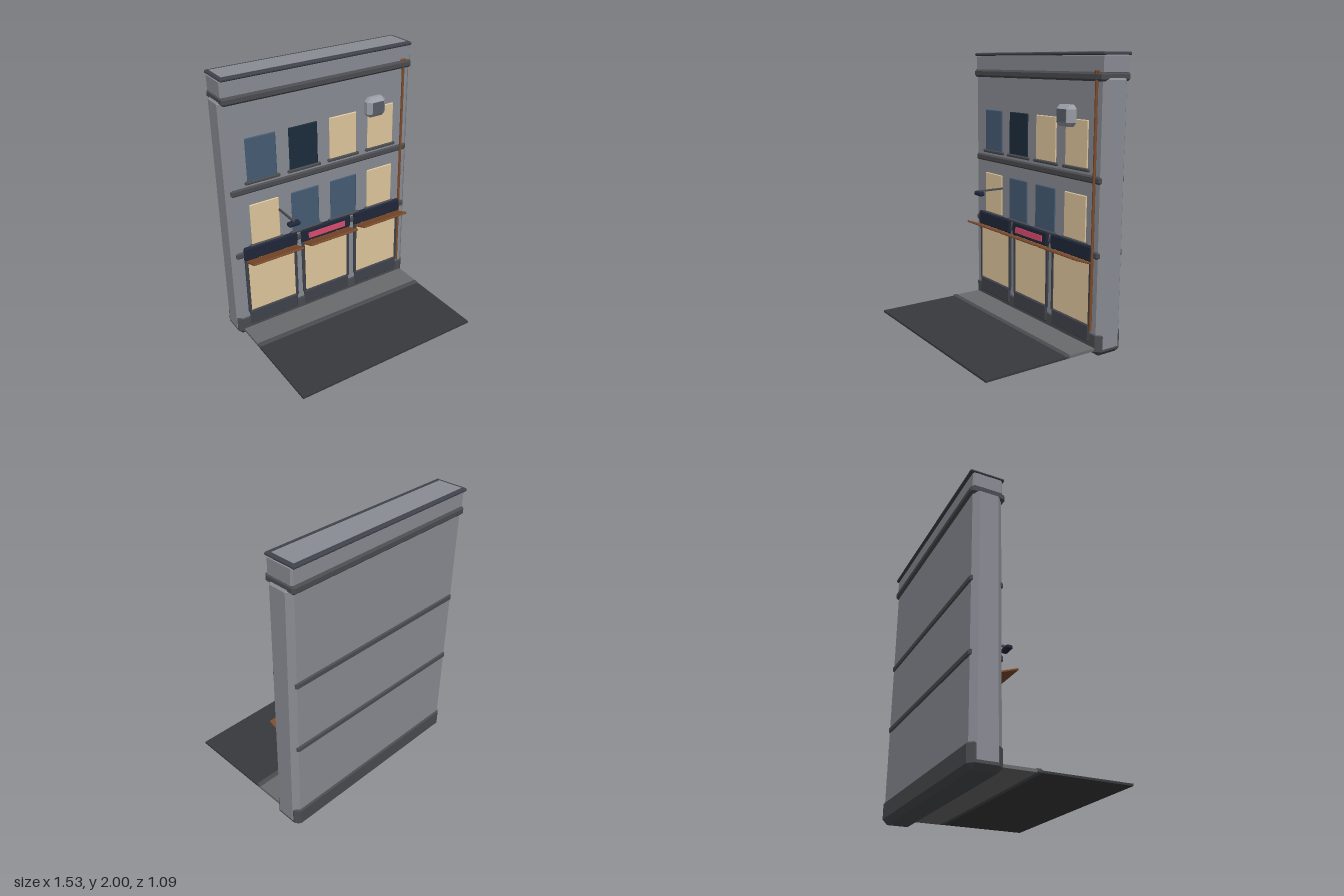
import * as THREE from 'three';
import { ConvexGeometry } from 'three/addons/geometries/ConvexGeometry.js';

const COLORS = {
  wall: 0x8a8c94, trim: 0x4b4c50, riser: 0x40434c, navy: 0x20273a, cream: 0xdfc79c,
  blue: 0x465c74, night: 0x1c2c3b, wood: 0x7d4c2c, pink: 0xdc4c6e, metal: 0x9a9ea6,
  grille: 0x5c5e68, pavement: 0x6a6b6d, road: 0x38393c,
};
const materials = {};
for (const key in COLORS) {
  materials[key] = new THREE.MeshStandardMaterial({ color: COLORS[key], flatShading: true });
}

// Box with all edges cut at 45 degrees
function chamferBox(w, h, d, c) {
  const points = [];
  for (const x of [-w / 2, w / 2]) for (const y of [-h / 2, h / 2]) for (const z of [-d / 2, d / 2]) {
    const ix = x - Math.sign(x) * c, iy = y - Math.sign(y) * c, iz = z - Math.sign(z) * c;
    points.push(new THREE.Vector3(x, iy, iz), new THREE.Vector3(ix, y, iz), new THREE.Vector3(ix, iy, z));
  }
  return new ConvexGeometry(points);
}

export function createModel() {
  const model = new THREE.Group();
  model.name = 'shopBuilding';

  // Block given by its extents on each axis, with an optional chamfer
  function block(name, color, [x0, x1], [y0, y1], [z0, z1], c = 0, parent = model) {
    const w = x1 - x0, h = y1 - y0, d = z1 - z0;
    const geometry = c ? chamferBox(w, h, d, c) : new THREE.BoxGeometry(w, h, d);
    const mesh = new THREE.Mesh(geometry, materials[color]);
    mesh.position.set((x0 + x1) / 2, (y0 + y1) / 2, (z0 + z1) / 2);
    mesh.name = name;
    parent.add(mesh);
    return mesh;
  }
  const span = (center, width) => [center - width / 2, center + width / 2];

  // Main body, plinth and horizontal bands
  block('body', 'wall', [-0.765, 0.765], [0.015, 1.86], [-0.522, -0.32], 0.037);
  block('plinth', 'trim', [-0.762, 0.762], [0, 0.18], [-0.533, -0.313], 0.035);
  block('lowerBand', 'trim', [-0.737, 0.737], [0.668, 0.72], [-0.531, -0.309], 0.012);
  block('upperBand', 'trim', [-0.737, 0.737], [1.163, 1.216], [-0.531, -0.309], 0.012);

  // Cornice, parapet and roof
  block('cornice', 'trim', [-0.752, 0.752], [1.815, 1.873], [-0.541, -0.3], 0.014);
  block('parapet', 'wall', [-0.75, 0.75], [1.86, 1.985], [-0.527, -0.317], 0.012);
  block('roofCap', 'riser', [-0.75, 0.75], [1.976, 1.998], [-0.545, -0.305], 0.007);
  block('roofPanel', 'wall', [-0.725, 0.725], [1.98, 2], [-0.518, -0.34]);

  // Two rows of windows with sills
  const rows = [
    { y: 0.755, colors: ['cream', 'blue', 'blue', 'cream'] },
    { y: 1.25, colors: ['blue', 'night', 'cream', 'cream'] },
  ];
  for (const row of rows) {
    row.colors.forEach((color, i) => {
      const x = -0.495 + i * 0.329;
      block('window', color, span(x, 0.23), [row.y, row.y + 0.318], [-0.33, -0.314], 0.005);
      block('windowSill', 'trim', span(x, 0.27), [row.y - 0.017, row.y + 0.006], [-0.33, -0.304], 0.006);
    });
  }

  // Three shopfronts
  for (const x of [-0.467, 0, 0.467]) {
    const shop = new THREE.Group();
    shop.name = 'shopfront';
    model.add(shop);
    block('shopWindow', 'cream', span(x, 0.38), [0.19, 0.66], [-0.33, -0.312], 0, shop);
    for (const side of [-1, 1]) {
      block('windowPost', 'riser', span(x + side * 0.2, 0.024), [0.19, 0.67], [-0.33, -0.307], 0.004, shop);
    }
    block('stallRiser', 'riser', span(x, 0.405), [0.083, 0.205], [-0.33, -0.303], 0.009, shop);
    block('signBoard', 'navy', span(x, 0.432), [0.645, 0.752], [-0.325, -0.295], 0.01, shop);
    // Canopy rises outwards from the wall
    const canopy = block('canopy', 'wood', span(x, 0.41), [0.649, 0.663], [-0.316, -0.176], 0.003, shop);
    canopy.rotation.x = -0.34;
  }
  block('signPanel', 'pink', [-0.16, 0.16], [0.672, 0.716], [-0.3, -0.288]);

  // Drainpipe with a hopper at the top
  const pipe = new THREE.Mesh(new THREE.CylinderGeometry(0.01, 0.01, 1.71, 10), materials.wood);
  pipe.name = 'drainpipe';
  pipe.position.set(0.682, 1.025, -0.311);
  model.add(pipe);
  block('pipeHopper', 'wood', span(0.682, 0.045), [1.865, 1.885], [-0.325, -0.305], 0.004);

  // Air conditioner
  block('airConditioner', 'metal', [0.338, 0.498], [1.515, 1.66], [-0.335, -0.245], 0.028);
  block('airConditionerGrille', 'grille', [0.37, 0.466], [1.544, 1.631], [-0.255, -0.243]);

  // Lamp on a long bracket
  block('lampArm', 'trim', span(-0.381, 0.013), [0.966, 0.979], [-0.33, -0.105]);
  block('lampHead', 'navy', [-0.427, -0.336], [0.94, 0.971], [-0.135, -0.089], 0.008);

  // Pavement, kerb and road
  block('pavement', 'pavement', [-0.727, 0.727], [0.04, 0.06], [-0.35, -0.1]);
  block('kerb', 'trim', [-0.727, 0.727], [0.039, 0.067], [-0.106, -0.066], 0.006);
  block('road', 'road', [-0.727, 0.727], [0.041, 0.055], [-0.08, 0.545]);

  return model;
}
